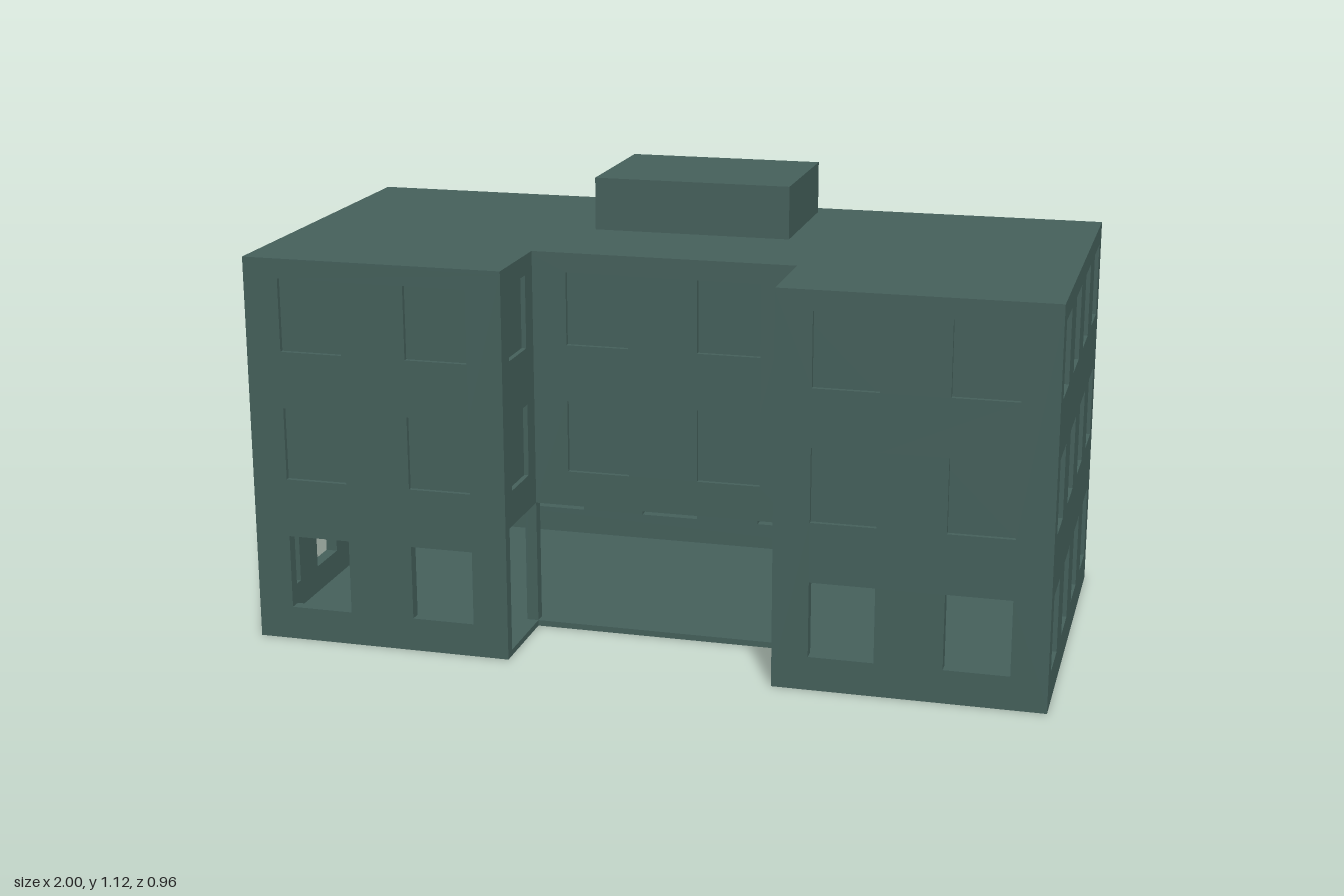
import * as THREE from 'three';

const W = 1, D = 0.48;              // half width, half depth
const CX = 0.335, CZ = 0.24;        // courtyard half width and back line
const T = 0.03, RECESS = 0.012;     // wall thickness, blind window recess
const BASE = 0.015, FLOOR = 0.335, EAVES = 0.98, TOP = 0.99;
const ROWS = [[0.085, 0.275], [0.425, 0.61], [0.755, 0.94]];

const material = new THREE.MeshStandardMaterial({ color: 0x45605b, flatShading: true });

function add(group, name, geometry, x = 0, y = 0, z = 0, ry = 0) {
  const mesh = new THREE.Mesh(geometry, material);
  mesh.name = name;
  mesh.position.set(x, y, z);
  mesh.rotation.y = ry;
  group.add(mesh);
}

// U-shaped plan, drawn inward by d and raised from y0 to y1
function plan(d, y0, y1) {
  const corners = [
    [-W + d, D - d], [-CX - d, D - d], [-CX - d, CZ - d], [CX + d, CZ - d],
    [CX + d, D - d], [W - d, D - d], [W - d, -D + d], [-W + d, -D + d],
  ];
  const shape = new THREE.Shape(corners.map(([x, z]) => new THREE.Vector2(x, -z)));
  return new THREE.ExtrudeGeometry(shape, { depth: y1 - y0, bevelEnabled: false })
    .rotateX(-Math.PI / 2).translate(0, y0, 0);
}

// Wall with window holes; its outer face lies on local z = 0
function wall(width, y0, centres, windowWidth) {
  const rect = (Kind, x, w, a, b) => new Kind([
    new THREE.Vector2(x - w / 2, a), new THREE.Vector2(x + w / 2, a),
    new THREE.Vector2(x + w / 2, b), new THREE.Vector2(x - w / 2, b),
  ]);
  const shape = rect(THREE.Shape, 0, width, y0, EAVES);
  for (const [a, b] of ROWS) {
    if (a < y0) continue;
    for (const x of centres) shape.holes.push(rect(THREE.Path, x, windowWidth, a, b));
  }
  return new THREE.ExtrudeGeometry(shape, { depth: T, bevelEnabled: false }).translate(0, 0, -T);
}

export function createModel() {
  const group = new THREE.Group();
  group.name = 'building';

  // Slabs and the solid upper storeys that back the blind windows
  add(group, 'groundSlab', plan(0, 0, BASE));
  add(group, 'upperCore', plan(RECESS, FLOOR + 0.01, EAVES));
  add(group, 'roof', plan(0, EAVES, TOP));

  // Long walls
  add(group, 'backWall', wall(2 * W, BASE, [-0.83, -0.503, -0.168, 0.168, 0.503, 0.83], 0.16), 0, 0, -D, Math.PI);
  add(group, 'courtyardWall', wall(2 * CX, FLOOR, [-0.168, 0.168], 0.16), 0, 0, CZ);

  // Mirrored wings: front, end and courtyard walls, and the inner corner pillar
  const innerZ = (D - T + CZ) / 2;
  for (const [side, s] of [['left', 1], ['right', -1]]) {
    add(group, side + 'FrontWall', wall(W - CX, BASE, [-0.163, 0.163], 0.16), s * (W + CX) / 2, 0, D);
    add(group, side + 'EndWall', wall(2 * (D - T), BASE, [-0.36, -0.12, 0.12, 0.36], 0.13), s * W, 0, 0, s * Math.PI / 2);
    add(group, side + 'WingInnerWall', wall(D - T - CZ, FLOOR, [s * (0.36 - innerZ)], 0.13),
      s * CX, 0, innerZ, -s * Math.PI / 2);
    add(group, side + 'CornerPillar', new THREE.BoxGeometry(T, EAVES - BASE, T),
      s * (CX + T / 2), (EAVES + BASE) / 2, CZ - T / 2);
  }

  // Plant room on the roof
  add(group, 'roofPlantRoom', new THREE.BoxGeometry(0.51, 0.135, 0.37), -0.003, TOP + 0.0675, -0.24);

  return group;
}
